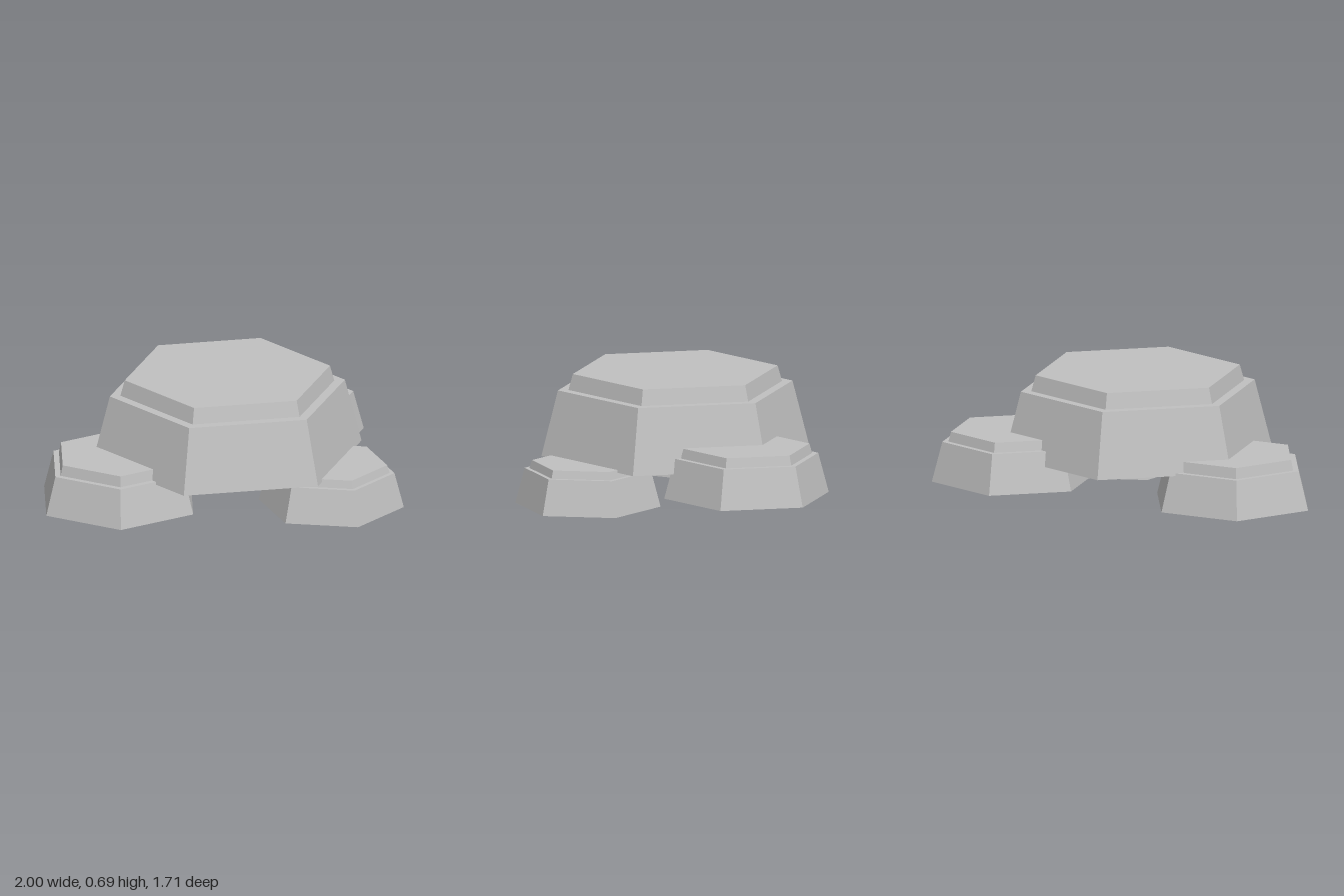
import * as THREE from 'three';

const stone = new THREE.MeshStandardMaterial({ color: 0xc0c0c0, flatShading: true });
stone.name = 'stone grey';

// Six-sided stepped stone: tapered base, narrow ledge, raised tapered cap.
// radii: base bottom, base top, cap bottom, cap top; heights: bottom, ledge, top
// turn: degrees by which one corner is turned from the x axis
function steppedStone(name, x, z, radii, heights, turn) {
  const [r0, r1, r2, r3] = radii;
  const [bottom, ledge, top] = heights;
  const profile = [
    [0, bottom], [r0, bottom], [r1, ledge], [r2, ledge], [r3, top], [0, top],
  ].map(([r, y]) => new THREE.Vector2(r, y));
  const start = THREE.MathUtils.degToRad(30 - turn);
  const geometry = new THREE.LatheGeometry(profile, 6, start, Math.PI * 2).toNonIndexed();
  geometry.computeVertexNormals();
  const mesh = new THREE.Mesh(geometry, stone);
  mesh.name = name;
  mesh.position.set(x, 0, z);
  return mesh;
}

export function createModel() {
  const group = new THREE.Group();
  group.name = 'hexagonalRockCluster';
  group.add(
    steppedStone('mainStone', 0.09, 0.105, [0.765, 0.67, 0.61, 0.585], [0.23, 0.6, 0.69], 0),
    steppedStone('backStone', 0.51, -0.45, [0.47, 0.41, 0.375, 0.36], [0.09, 0.315, 0.37], 0),
    steppedStone('frontStone', 0.613, 0.448, [0.41, 0.357, 0.33, 0.316], [0, 0.2, 0.245], 20),
    steppedStone('sideStone', -0.555, 0.23, [0.474, 0.415, 0.38, 0.367], [0.025, 0.245, 0.305], -20),
  );
  return group;
}
